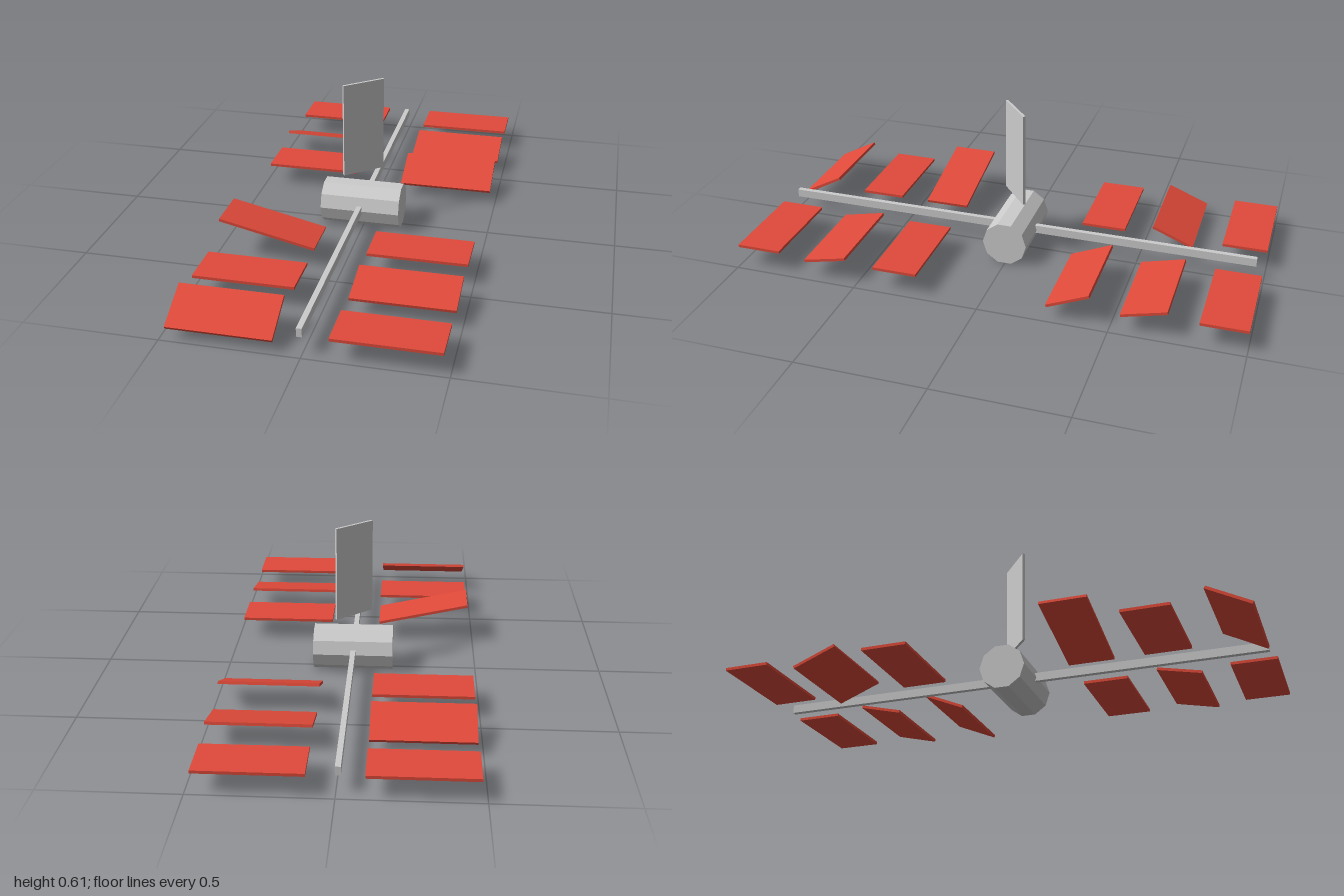
import * as THREE from 'three';

const grey = new THREE.MeshStandardMaterial({ color: 0xcccccc, flatShading: true });
const red = new THREE.MeshStandardMaterial({ color: 0xe04a3a, flatShading: true });

function add(group, name, geometry, material, x, y, z) {
  const mesh = new THREE.Mesh(geometry, material);
  mesh.name = name;
  mesh.position.set(x, y, z);
  group.add(mesh);
  return mesh;
}

export function createModel() {
  const model = new THREE.Group();
  model.name = 'satellite';
  const axisY = 0.086;

  // Ten-sided hub lying across the boom, with a side edge at the front and back
  const hub = new THREE.CylinderGeometry(0.0895, 0.0895, 0.317, 10).rotateZ(Math.PI / 2);
  add(model, 'hub', hub, grey, -0.007, 0.085, 0.0025);

  // Long boom running front to back through the hub
  add(model, 'boom', new THREE.BoxGeometry(0.02, 0.033, 1.95), grey, -0.008, 0.087, 0.006);

  // Upright plate floating above the hub, turned about the vertical
  const plate = add(model, 'uprightPlate', new THREE.BoxGeometry(0.176, 0.38, 0.01), grey, -0.008, 0.415, 0.005);
  plate.rotation.y = THREE.MathUtils.degToRad(40);

  // Two rows of panels: [z, left tilt, right tilt] in degrees, positive lowers the front edge
  const panel = new THREE.BoxGeometry(0.38, 0.011, 0.176);
  const rows = [
    [-0.912, 0, 0],
    [-0.625, 14, -22],
    [-0.342, 23, 0],
    [0.338, 0, 0],
    [0.628, 12, 0],
    [0.911, 0, 28],
  ];
  rows.forEach(([z, leftTilt, rightTilt], i) => {
    const left = add(model, `leftPanel${i + 1}`, panel, red, 0.287, axisY, z);
    left.rotation.x = THREE.MathUtils.degToRad(leftTilt);
    const right = add(model, `rightPanel${i + 1}`, panel, red, -0.289, axisY, z);
    right.rotation.x = THREE.MathUtils.degToRad(rightTilt);
    // One right panel is swung up about its inner end
    if (i === 3) {
      right.position.y = 0.124;
      right.rotation.z = THREE.MathUtils.degToRad(-12.7);
    }
  });

  return model;
}
